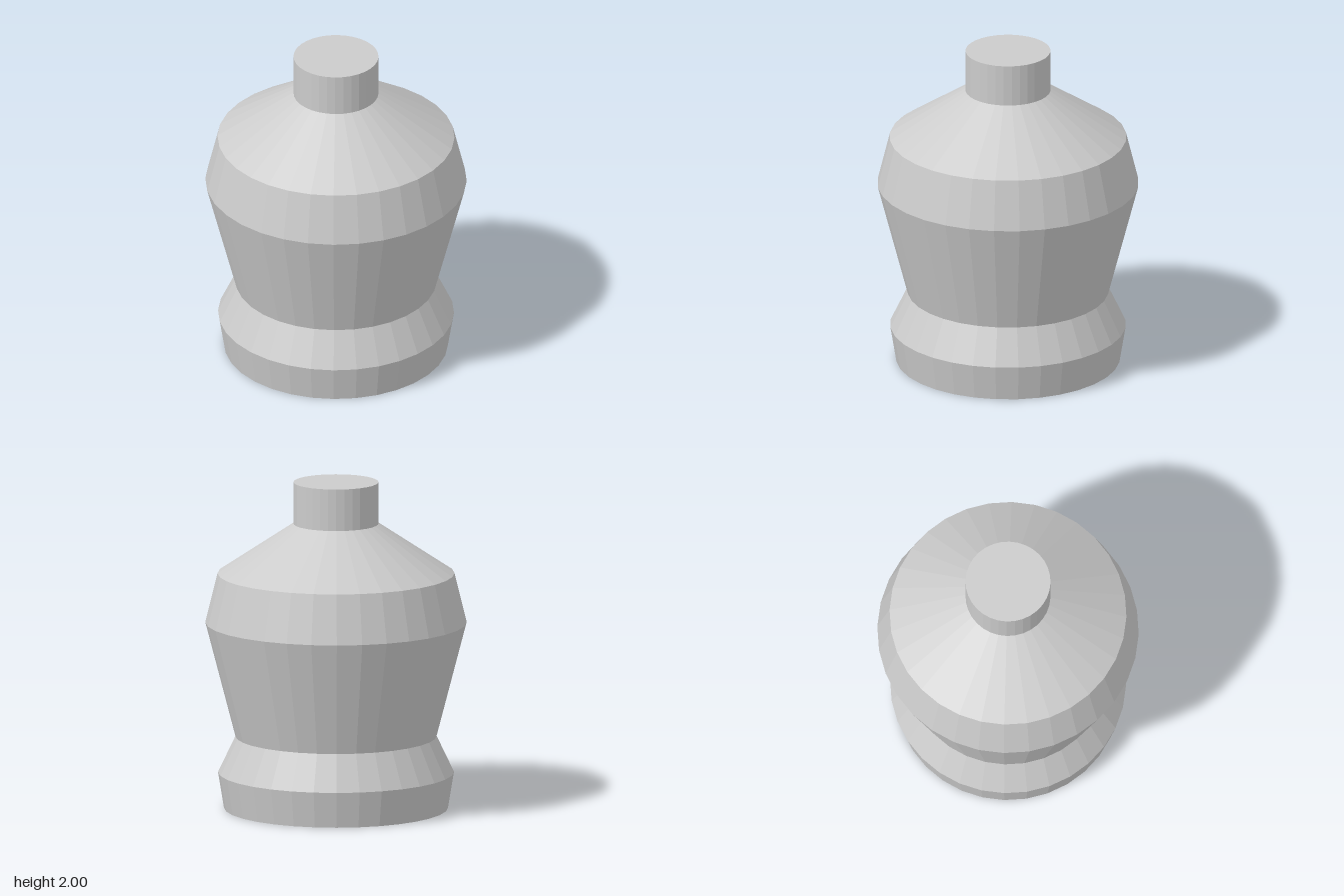
import * as THREE from 'three';

const SIDES = 32;

export function createModel() {
  const group = new THREE.Group();
  group.name = 'bottle';
  const material = new THREE.MeshStandardMaterial({ color: 0xcccccc, flatShading: true });

  // Each part is a faceted turned section: [radius, height] from bottom to top
  const addSection = (name, profile) => {
    const points = profile.map(([r, y]) => new THREE.Vector2(r, y));
    const mesh = new THREE.Mesh(new THREE.LatheGeometry(points, SIDES), material);
    mesh.name = name;
    group.add(mesh);
  };

  // Flared foot with a closed underside
  addSection('base', [[0, 0], [0.677, 0], [0.713, 0.22], [0.608, 0.44]]);
  // Main body widening from the waist, then turning in
  addSection('body', [[0.608, 0.44], [0.79, 1.14], [0.716, 1.44]]);
  // Sloping shoulder
  addSection('shoulder', [[0.716, 1.44], [0.257, 1.745]]);
  // Straight neck with a closed top
  addSection('neck', [[0.257, 1.745], [0.257, 2], [0, 2]]);

  return group;
}
